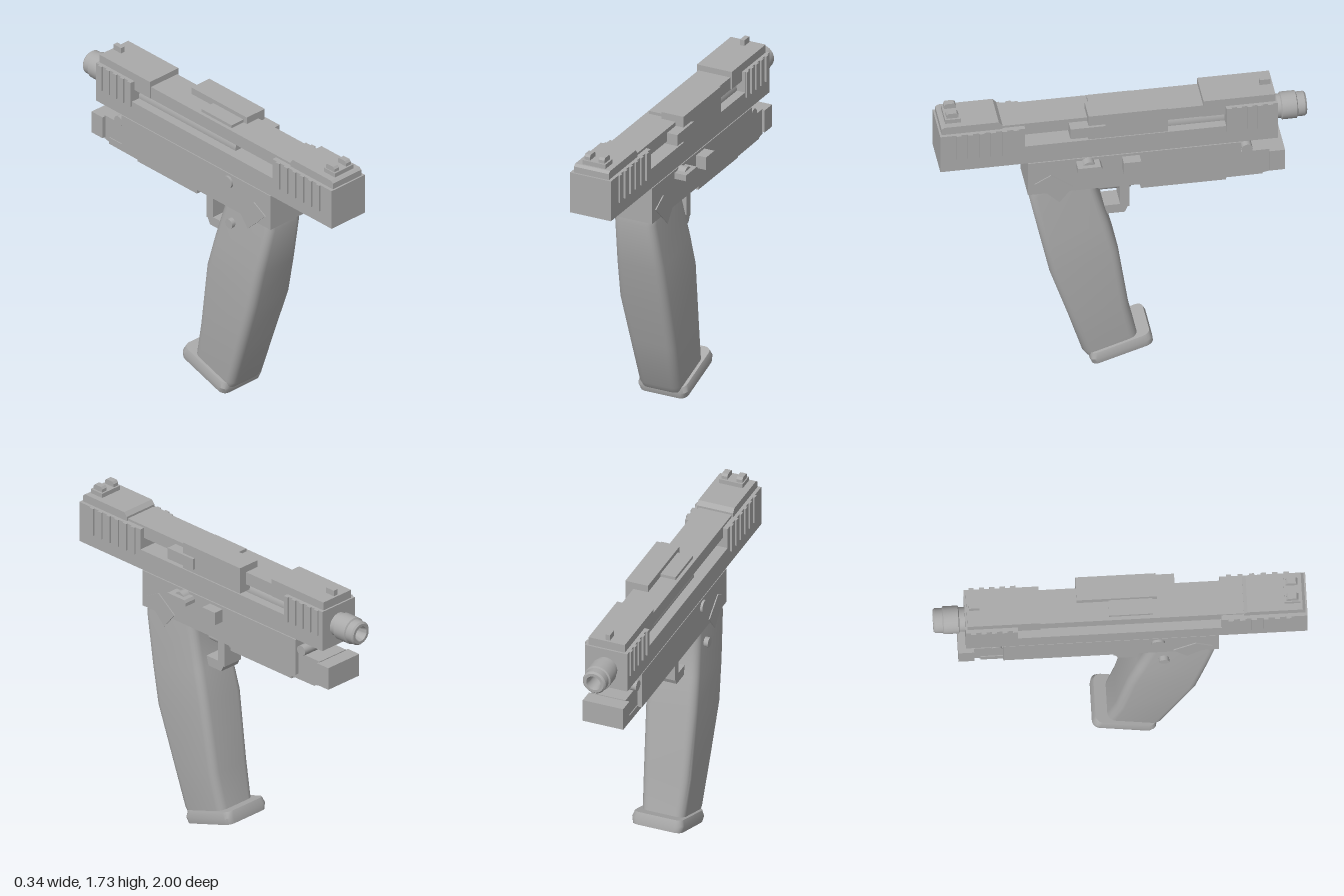
import * as THREE from 'three';
import { toCreasedNormals } from 'three/addons/utils/BufferGeometryUtils.js';

const CX = -0.023; // centre plane of the body

export function createModel() {
  const model = new THREE.Group();
  model.name = 'handgun';
  const grey = new THREE.MeshStandardMaterial({ color: 0xaaaaaa });
  grey.name = 'matte grey';

  function add(name, geometry) {
    const mesh = new THREE.Mesh(geometry, grey);
    mesh.name = name;
    model.add(mesh);
    return mesh;
  }

  // box given by its limits on each axis
  function box(name, x0, x1, y0, y1, z0, z1) {
    const mesh = add(name, new THREE.BoxGeometry(x1 - x0, y1 - y0, z1 - z0));
    mesh.position.set((x0 + x1) / 2, (y0 + y1) / 2, (z0 + z1) / 2);
    return mesh;
  }

  // side profile of [z, y] points, extruded across x
  function sideProfile(name, points, x0, x1) {
    const shape = new THREE.Shape(points.map(([z, y]) => new THREE.Vector2(-z, y)));
    const geo = new THREE.ExtrudeGeometry(shape, { depth: x1 - x0, bevelEnabled: false });
    geo.rotateY(Math.PI / 2);
    geo.translate(x0, 0, 0);
    return add(name, geo);
  }

  // cylinder lying across x
  function pin(name, x0, x1, y, z, r, sides = 20) {
    const mesh = add(name, new THREE.CylinderGeometry(r, r, x1 - x0, sides));
    mesh.rotation.z = Math.PI / 2;
    mesh.position.set((x0 + x1) / 2, y, z);
    return mesh;
  }

  // loft of rounded rectangles; level = [rearZ, rearY, frontZ, frontY, halfWidth], bottom first
  function loft(name, levels, radius) {
    const pos = [], index = [], per = 24;
    for (const [rz, ry, fz, fy, hw] of levels) {
      const half = Math.hypot(rz - fz, ry - fy) / 2;
      for (let j = 0; j < per; j++) {
        const corner = Math.floor(j / 6);
        const a = (corner + (j % 6) / 5) * Math.PI / 2;
        const sx = corner === 0 || corner === 3 ? 1 : -1;
        const sv = corner < 2 ? 1 : -1;
        const x = sx * (hw - radius) + Math.cos(a) * radius;
        const t = (sv * (half - radius) + Math.sin(a) * radius) / half;
        pos.push(CX + x, (ry + fy) / 2 + t * (ry - fy) / 2, (rz + fz) / 2 + t * (rz - fz) / 2);
      }
    }
    for (let i = 0; i < levels.length - 1; i++) {
      for (let j = 0; j < per; j++) {
        const k = (j + 1) % per, a = i * per + j, b = i * per + k;
        index.push(a, a + per, b, b, a + per, b + per);
      }
    }
    const top = (levels.length - 1) * per;
    for (let j = 1; j < per - 1; j++) {
      index.push(0, j, j + 1, top, top + j + 1, top + j);
    }
    const geo = new THREE.BufferGeometry();
    geo.setAttribute('position', new THREE.Float32BufferAttribute(pos, 3));
    geo.setIndex(index);
    return add(name, toCreasedNormals(geo, 0.6));
  }

  // slide: lower rail, end blocks and the raised top
  box('slideRail', -0.147, 0.1, 1.395, 1.51, -0.83, 1);
  box('slideRearBlock', -0.147, 0.1, 1.5, 1.63, 0.54, 1);
  box('slideFrontBlock', -0.147, 0.1, 1.5, 1.63, -0.83, -0.55);
  box('slideTopBar', -0.12, 0.073, 1.57, 1.643, -0.55, 0.66);
  sideProfile('slideRearCap', [[0.99, 1.62], [0.99, 1.665], [0.975, 1.677], [0.68, 1.677], [0.66, 1.655], [0.66, 1.62]], -0.128, 0.082);
  box('slideFrontCap', -0.128, 0.082, 1.575, 1.677, -0.82, -0.43);

  // grip ribs on both sides of the slide
  for (const x of [-0.147, 0.1]) {
    for (let i = 0; i < 6; i++) {
      const z = 0.9 - i * 0.062;
      box('rearRib', x - 0.01, x + 0.01, 1.47, 1.63, z - 0.014, z + 0.014);
    }
    for (let i = 0; i < 5; i++) {
      const z = -0.565 - i * 0.056;
      box('frontRib', x - 0.01, x + 0.01, 1.48, 1.63, z - 0.014, z + 0.014);
    }
  }

  // ejection cover, its tab and the flat plate beside it
  box('ejectionCover', -0.012, 0.12, 1.53, 1.683, -0.23, 0.2);
  box('ejectionTab', 0.04, 0.135, 1.555, 1.62, 0.11, 0.3);
  box('topPlate', -0.1, -0.01, 1.63, 1.66, -0.06, 0.175);

  // sights
  box('rearSightBase', -0.09, 0.048, 1.67, 1.702, 0.88, 0.965);
  for (const x of [-0.067, 0.02]) {
    sideProfile('rearSightPost', [[0.955, 1.69], [0.955, 1.72], [0.945, 1.732], [0.9, 1.732], [0.89, 1.72], [0.89, 1.69]], x - 0.017, x + 0.017);
  }
  box('frontSight', -0.037, -0.01, 1.67, 1.71, -0.808, -0.75);

  // barrel with a hollow stepped muzzle
  const barrelProfile = [
    [0, -0.2], [0.073, -0.2], [0.073, 0.82], [0.066, 0.82], [0.066, 0.86], [0.075, 0.865],
    [0.075, 0.945], [0.067, 0.95], [0.067, 0.99], [0.058, 1], [0.042, 1], [0.034, 0.97], [0.034, 0.87], [0, 0.87],
  ].map(([r, y]) => new THREE.Vector2(r, y));
  const barrel = add('barrel', toCreasedNormals(new THREE.LatheGeometry(barrelProfile, 32), 0.5));
  barrel.rotation.x = -Math.PI / 2;
  barrel.position.set(CX, 1.515, 0);

  // frame and front rail
  box('frame', -0.147, 0.1, 1.18, 1.39, -0.63, 0.525);
  box('frameSeam', -0.13, 0.085, 1.38, 1.4, -0.63, 0.525);
  sideProfile('frontRail', [[-0.5, 1.17], [-0.5, 1.31], [-0.79, 1.31], [-0.79, 1.165], [-0.72, 1.15]], -0.12, 0.08);
  box('railEnd', -0.14, 0.095, 1.175, 1.305, -0.87, -0.785);
  pin('crossPin', -0.14, 0.095, 1.335, -0.665, 0.03);
  sideProfile('underBody', [[0, 1.19], [-0.75, 1.19], [-0.75, 1.15], [-0.3, 1.145], [0, 1.165]], -0.125, 0.08);
  box('underPlate', -0.1, 0.055, 1.115, 1.15, -0.555, -0.095);

  // controls on the left side
  box('sideButton', 0.09, 0.16, 1.3, 1.375, -0.08, 0.015);
  pin('leverHub', 0.09, 0.145, 1.357, 0.2, 0.036);
  sideProfile('lever', [[0.265, 1.34], [0.265, 1.375], [0.14, 1.375], [0.13, 1.36], [0.13, 1.34]], 0.1, 0.17);

  // controls on the right side
  pin('rightHub', -0.16, -0.14, 1.34, 0.2, 0.036);
  const release = pin('releaseButton', -0.175, -0.12, 1.1, 0.23, 0.028, 12);
  release.name = 'releaseButton';

  // wedge where the grip meets the frame
  for (const [x0, x1] of [[0.095, 0.106], [-0.153, -0.142]]) {
    sideProfile('gripWedge', [[0.49, 1.25], [0.4, 1.3], [0.28, 1.21], [0.355, 1.115]], x0, x1);
  }

  // trigger guard and trigger
  box('guardPost', -0.085, 0.04, 0.99, 1.17, -0.035, 0.015);
  sideProfile('guardBase', [[0.13, 0.965], [0.13, 1.01], [-0.035, 1.01], [-0.01, 0.955], [0.08, 0.955]], -0.085, 0.04);
  const triggerPath = new THREE.CatmullRomCurve3([
    new THREE.Vector3(CX, 1.1, 0.18), new THREE.Vector3(CX, 1.1, 0.05), new THREE.Vector3(CX, 1.1, -0.05),
  ]);
  add('trigger', new THREE.TubeGeometry(triggerPath, 8, 0.022, 12));
  const tip = add('triggerTip', new THREE.ConeGeometry(0.03, 0.045, 12));
  tip.rotation.x = -Math.PI / 2;
  tip.position.set(CX, 1.1, -0.055);

  // swelling grip and its tilted base plate
  loft('grip', [
    [0.2, 0.04, -0.08, 0.12, 0.12],
    [0.225, 0.075, -0.07, 0.16, 0.124],
    [0.31, 0.35, -0.025, 0.36, 0.137],
    [0.405, 0.64, 0.035, 0.76, 0.148],
    [0.455, 0.87, 0.085, 0.95, 0.14],
    [0.515, 1.15, 0.145, 1.17, 0.123],
    [0.5, 1.22, 0.14, 1.22, 0.118],
  ], 0.045);
  loft('basePlate', [
    [0.178, 0.002, -0.155, 0.11, 0.143],
    [0.19, 0.035, -0.15, 0.145, 0.15],
    [0.188, 0.07, -0.135, 0.178, 0.14],
  ], 0.04);

  return model;
}
